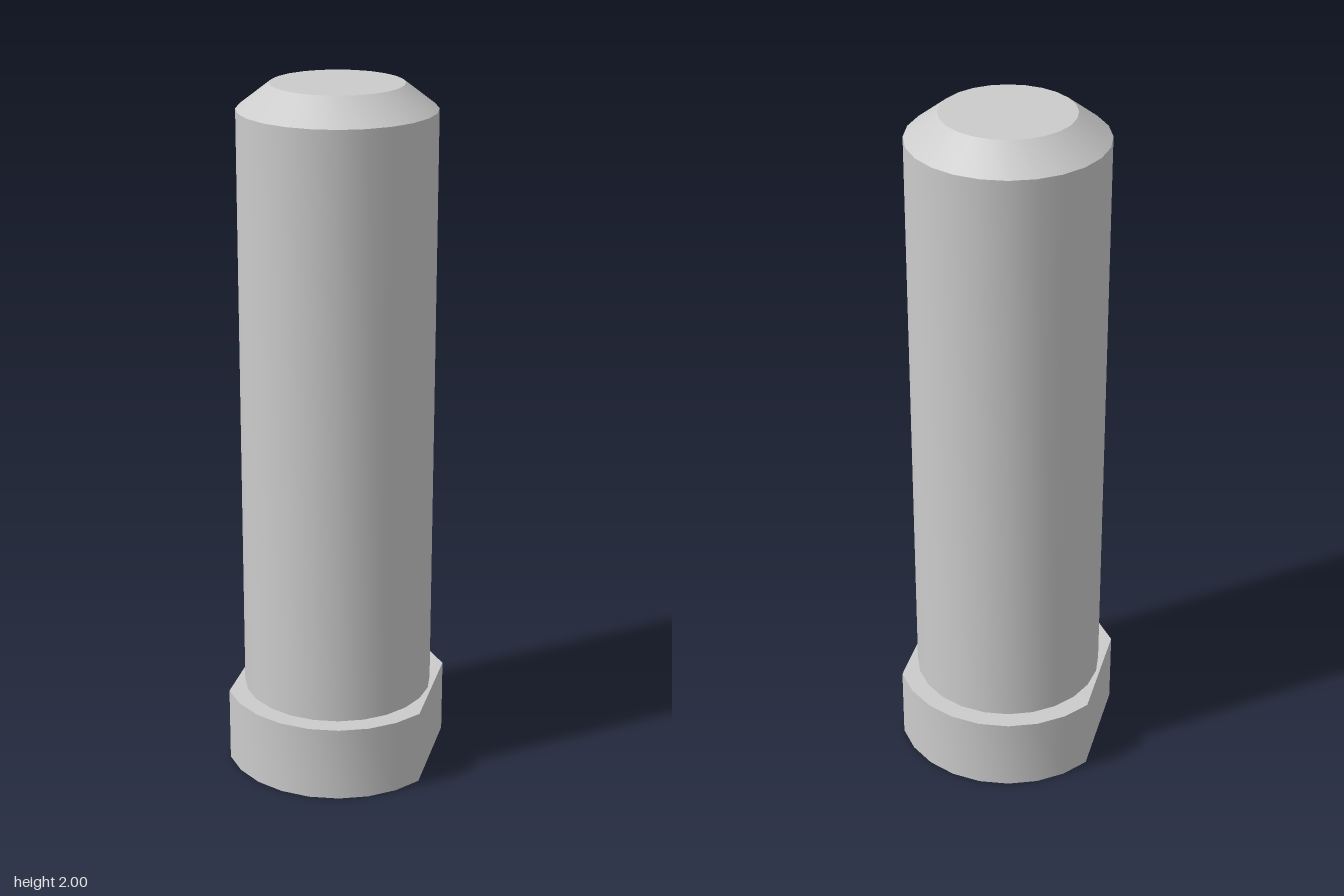
import * as THREE from 'three';
import { toCreasedNormals } from 'three/addons/utils/BufferGeometryUtils.js';

const SIDES = 24;
const CREASE = Math.PI / 6;
const HEAD_RADIUS = 0.33, HEAD_HEIGHT = 0.22;
const SHAFT_RADIUS = 0.275, TIP_RADIUS = 0.184;

export function createModel() {
  const group = new THREE.Group();
  const material = new THREE.MeshStandardMaterial({ color: 0xcccccc });
  const add = (name, geometry) => {
    const mesh = new THREE.Mesh(toCreasedNormals(geometry, CREASE), material);
    mesh.name = name;
    group.add(mesh);
  };

  // Head: a disc with two opposite flats, made of two 120 degree arcs
  const outline = [];
  for (const middle of [Math.PI / 2, -Math.PI / 2]) {
    for (let i = -4; i <= 4; i++) {
      const a = middle + (i * 2 * Math.PI) / SIDES;
      outline.push(new THREE.Vector2(HEAD_RADIUS * Math.cos(a), HEAD_RADIUS * Math.sin(a)));
    }
  }
  const head = new THREE.ExtrudeGeometry(new THREE.Shape(outline), { depth: HEAD_HEIGHT, bevelEnabled: false });
  head.rotateX(-Math.PI / 2);
  add('head', head);

  // Shaft: straight cylinder with a chamfered, flat tip
  const profile = [
    [SHAFT_RADIUS, HEAD_HEIGHT], [SHAFT_RADIUS, 1.93], [TIP_RADIUS, 2], [0, 2],
  ].map(([r, y]) => new THREE.Vector2(r, y));
  add('shaft', new THREE.LatheGeometry(profile, SIDES));

  return group;
}
